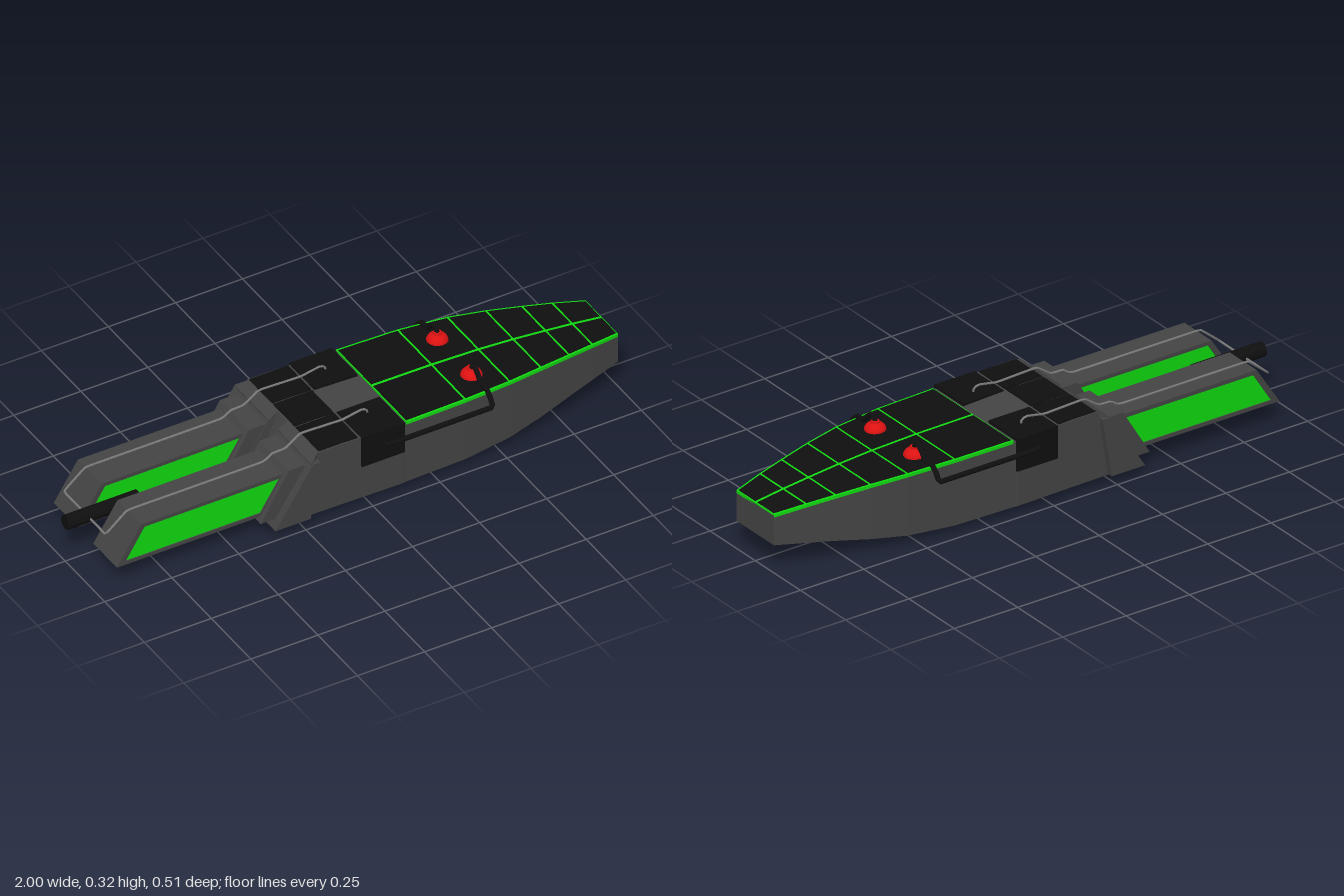
import * as THREE from 'three';

const mat = (color) => new THREE.MeshStandardMaterial({ color, flatShading: true });
const GREY = mat(0x444444), BLACK = mat(0x0f0f0f), GREEN = mat(0x10d810), RED = mat(0xdd1212), WIRE = mat(0x777777);

// Solid lofted along x through four-cornered sections
function loft(sections) {
  const pos = [];
  const tri = (...p) => p.forEach((v) => pos.push(...v));
  for (let s = 0; s + 1 < sections.length; s++) {
    const a = sections[s], b = sections[s + 1];
    for (let i = 0; i < 4; i++) {
      const j = (i + 1) % 4;
      tri(a[i], b[i], b[j]);
      tri(a[i], b[j], a[j]);
    }
  }
  const a = sections[0], b = sections[sections.length - 1];
  tri(a[0], a[1], a[2]);
  tri(a[0], a[2], a[3]);
  tri(b[0], b[2], b[1]);
  tri(b[0], b[3], b[2]);
  const g = new THREE.BufferGeometry();
  g.setAttribute('position', new THREE.Float32BufferAttribute(pos, 3));
  g.computeVertexNormals();
  return g;
}

const section = (xb, xt, yb, yt, z0, z1) => [[xb, yb, z0], [xb, yb, z1], [xt, yt, z1], [xt, yt, z0]];

// Side profile (x, y) extruded between two z values, mirrored by side
function slab(points, zIn, zOut, side, hole) {
  const shape = new THREE.Shape(points.map((p) => new THREE.Vector2(...p)));
  if (hole) shape.holes.push(new THREE.Path(hole.map((p) => new THREE.Vector2(...p))));
  const g = new THREE.ExtrudeGeometry(shape, { depth: zOut - zIn, bevelEnabled: false });
  return g.translate(0, 0, side > 0 ? zIn : -zOut);
}

const box = (x0, x1, y0, y1, z0, z1) =>
  new THREE.BoxGeometry(x1 - x0, y1 - y0, z1 - z0).translate((x0 + x1) / 2, (y0 + y1) / 2, (z0 + z1) / 2);

// Cable through points with tight corners
function cable(points, radius, sides) {
  const curve = new THREE.CatmullRomCurve3(points.map((p) => new THREE.Vector3(...p)), false, 'catmullrom', 0.12);
  return new THREE.TubeGeometry(curve, 90, radius, sides, false);
}

export function createModel() {
  const model = new THREE.Group();
  const add = (name, geometry, material) => {
    const mesh = new THREE.Mesh(geometry, material);
    mesh.name = name;
    model.add(mesh);
    return mesh;
  };

  // Hull stations: x, half width, bottom y, top y
  const stations = [
    [0.14, 0.222, 0.026, 0.262], [0.365, 0.216, 0.026, 0.26], [0.54, 0.2, 0.036, 0.254],
    [0.67, 0.177, 0.053, 0.245], [0.79, 0.152, 0.073, 0.233], [0.89, 0.13, 0.087, 0.222], [1, 0.103, 0.1, 0.207],
  ];
  add('hull', loft([
    section(-0.285, -0.19, 0.032, 0.272, -0.225, 0.225),
    section(-0.1, -0.1, 0.03, 0.272, -0.225, 0.225),
    section(0.12, 0.12, 0.026, 0.264, -0.224, 0.224),
    ...stations.map(([x, w, b, t]) => section(x, x, b, t, -w, w)),
  ]), GREY);

  // Green deck with black panels that leave its edges and grid showing
  add('deckGrid', loft(stations.map(([x, w, , t]) => section(x, x, t - 0.006, t + 0.005, -w - 0.001, w + 0.001))), GREEN);
  for (let i = 0; i + 1 < stations.length; i++) {
    const [a, b] = [stations[i], stations[i + 1]];
    const at = (f, side) => {
      const [x, w, , t] = a.map((v, k) => v + (b[k] - v) * f);
      const z = [0.006 * side, (w - 0.007) * side].sort((p, q) => p - q);
      return section(x, x, t, t + 0.0065, ...z);
    };
    const gap = 0.004 / (b[0] - a[0]);
    for (const side of [-1, 1]) add('deckPanel', loft([at(gap, side), at(1 - gap, side)]), BLACK);
  }

  // Black plates behind the deck
  for (const [z0, z1] of [[-0.22, -0.074], [-0.068, 0.068], [0.074, 0.22]])
    add('rearPlate', box(-0.185, -0.04, 0.262, 0.275, z0, z1), BLACK);

  // Round base under the hull
  const baseProfile = [[0, 0], [0.137, 0], [0.137, 0.006], [0.178, 0.006], [0.208, 0.022], [0.208, 0.034], [0, 0.034]];
  add('base', new THREE.LatheGeometry(baseProfile.map((p) => new THREE.Vector2(...p)), 40), GREY)
    .position.set(0.09, 0, 0);
  add('baseRing', new THREE.TorusGeometry(0.105, 0.002, 4, 40).rotateX(Math.PI / 2), GREY)
    .position.set(0.09, 0.002, 0);

  const prong = [[-0.925, 0.075], [-0.36, 0.075], [-0.27, 0.215], [-0.835, 0.215]];
  const panel = [[-0.893, 0.088], [-0.39, 0.088], [-0.318, 0.201], [-0.822, 0.201]];
  for (const s of [-1, 1]) {
    // Prong frame with recessed green panel showing on both faces
    add('prong', slab(prong, 0.05, 0.2, s, panel), GREY);
    add('prongPanel', slab(panel, 0.054, 0.196, s), GREEN);

    // Stepped collars joining the prong to the hull
    add('innerCollar', slab([[-0.4, 0.06], [-0.2, 0.06], [-0.2, 0.235], [-0.295, 0.235]], 0.033, 0.218, s), GREY);
    const zs = (z0, z1) => (s > 0 ? [z0, z1] : [-z1, -z0]);
    add('outerCollar', slab([[-0.362, 0.035], [-0.23, 0.035], [-0.195, 0.25], [-0.222, 0.25]], 0.03, 0.247, s), GREY);
    add('collarTop', loft([
      section(-0.225, -0.225, 0.23, 0.25, ...zs(0.03, 0.244)),
      section(-0.19, -0.19, 0.23, 0.272, ...zs(0.03, 0.222)),
    ]), GREY);

    // Clamp wrapped over the hull edge
    add('clamp', box(-0.03, 0.13, 0.155, 0.273, ...zs(0.07, 0.231)), BLACK);

    // Red dome with cap
    const dome = new THREE.SphereGeometry(0.037, 16, 6, 0, Math.PI * 2, 0, Math.PI / 2).scale(1, 0.8, 1);
    add('dome', dome, RED).position.set(0.45, 0.261, s * 0.108);
    add('domeCap', new THREE.CylinderGeometry(0.014, 0.016, 0.012, 12), RED).position.set(0.45, 0.289, s * 0.108);

    // Thick cable from clamp to dome
    add('cable', cable([
      [0.055, 0.222, s * 0.21], [0.055, 0.222, s * 0.24], [0.065, 0.222, s * 0.245], [0.44, 0.222, s * 0.245],
      [0.45, 0.225, s * 0.244], [0.45, 0.25, s * 0.228], [0.45, 0.268, s * 0.205], [0.45, 0.27, s * 0.168],
      [0.45, 0.292, s * 0.15], [0.45, 0.308, s * 0.132], [0.45, 0.306, s * 0.117], [0.45, 0.288, s * 0.107],
    ], 0.009, 7), BLACK);

    // Thin wire from the rod along the prong to the clamp
    const z = s > 0 ? 0.12 : -0.145;
    add('wire', cable([
      [-0.92, 0.155, 0], [-0.92, 0.155, z * 0.95], [-0.915, 0.16, z], [-0.845, 0.218, z], [-0.82, 0.222, z],
      [-0.34, 0.222, z], [-0.3, 0.242, z], [-0.25, 0.245, z], [-0.2, 0.28, z], [-0.18, 0.283, z],
      [-0.04, 0.278, z], [0.0, 0.285, z], [0.035, 0.291, z], [0.053, 0.284, z], [0.055, 0.268, z],
    ], 0.004, 6), WIRE);
  }

  // Rod between the prong tips
  add('rod', new THREE.CylinderGeometry(0.026, 0.026, 0.27, 12).rotateZ(Math.PI / 2), BLACK)
    .position.set(-0.865, 0.155, 0);

  return model;
}
